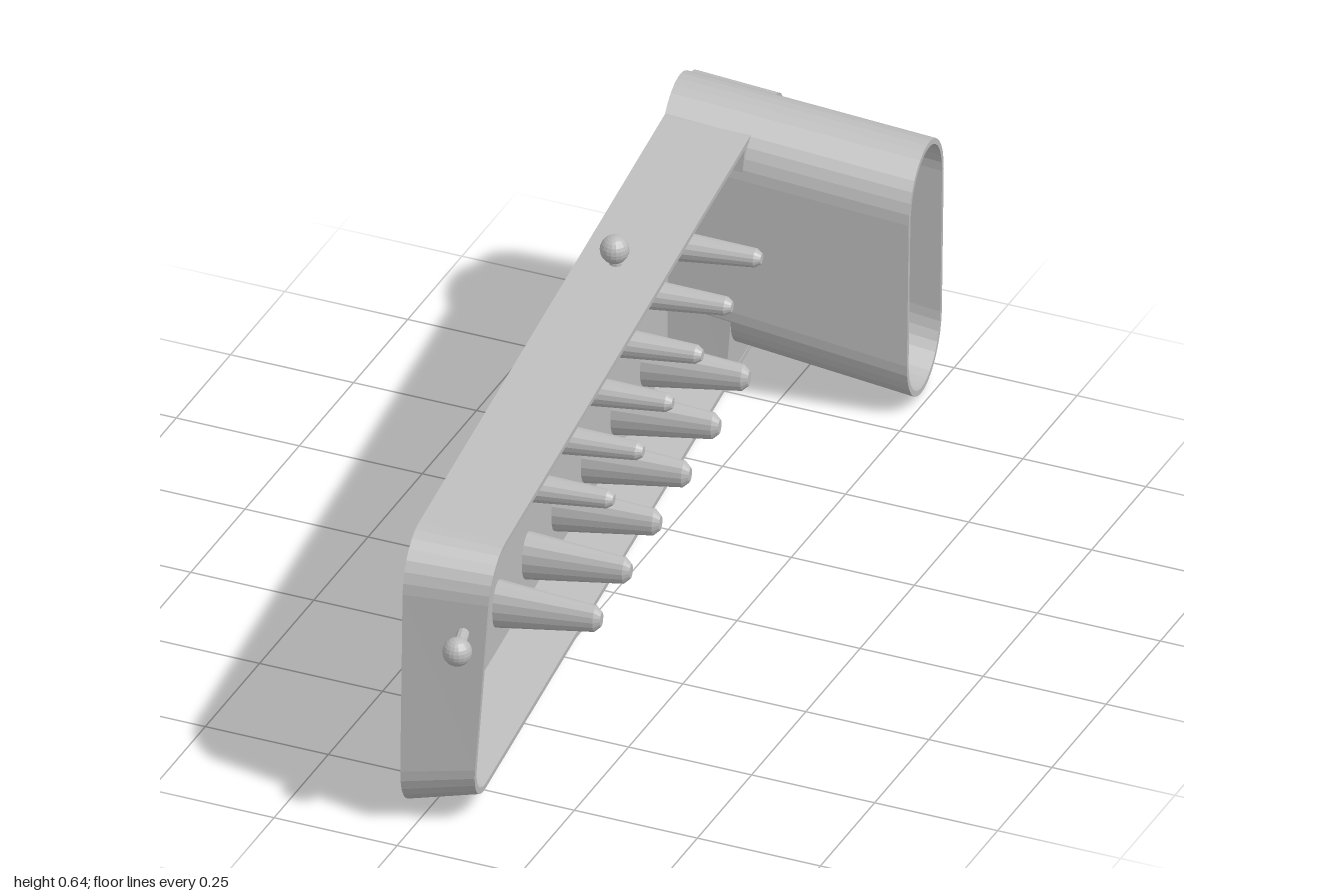
import * as THREE from 'three';

const grey = new THREE.MeshStandardMaterial({ color: 0xbbbbbb, flatShading: true });
grey.name = 'plain grey';

// Tray frame: u runs along the length, v up, w out of the back plate
const place = (u, v, w) => [
  -0.135 + 0.12 * u + 0.993 * w + 0.012 * v,
  0.3025 + v + 0.0105 * u,
  -0.018 + 0.993 * u - 0.12 * w,
];

// Rounded rectangle in the u-v plane, lying at depth w(v)
function loop(u0, u1, v0, v1, r, w, n = 7, rv = r) {
  const pts = [];
  for (let k = 0; k < 4; k++) {
    for (let s = 0; s <= n; s++) {
      const t = (k + s / n) * Math.PI / 2;
      const cu = k === 0 || k === 3 ? u0 + r : u1 - r;
      const cv = k < 2 ? v1 - rv : v0 + rv;
      const v = cv + rv * Math.sin(t);
      pts.push([cu - r * Math.cos(t), v, typeof w === 'function' ? w(v) : w]);
    }
  }
  return pts;
}

// Closed skin through a row of loops
function loft(name, loops) {
  const n = loops[0].length, pos = [], index = [];
  loops.forEach(l => l.forEach(p => pos.push(...place(...p))));
  for (let i = 0; i < loops.length - 1; i++) {
    for (let j = 0; j < n; j++) {
      const a = i * n + j, b = i * n + (j + 1) % n;
      index.push(a, b, b + n, a, b + n, a + n);
    }
  }
  [0, loops.length - 1].forEach((i, end) => {
    const c = [0, 1, 2].map(k => loops[i].reduce((s, p) => s + p[k], 0) / n);
    const ci = pos.length / 3;
    pos.push(...place(...c));
    for (let j = 0; j < n; j++) {
      const a = i * n + j, b = i * n + (j + 1) % n;
      if (end) index.push(ci, a, b); else index.push(ci, b, a);
    }
  });
  const g = new THREE.BufferGeometry();
  g.setAttribute('position', new THREE.Float32BufferAttribute(pos, 3));
  g.setIndex(index);
  g.computeVertexNormals();
  return named(name, g);
}

function named(name, geometry) {
  const m = new THREE.Mesh(geometry, grey);
  m.name = name;
  return m;
}

// Ball on a thin stem
function knob(name, from, to) {
  const g = new THREE.Group();
  g.name = name;
  const a = new THREE.Vector3(...from), b = new THREE.Vector3(...to);
  g.add(named(name + 'Stem', new THREE.TubeGeometry(new THREE.LineCurve3(a, b), 1, 0.012, 10)));
  const ball = named(name + 'Ball', new THREE.SphereGeometry(0.028, 18, 12));
  ball.position.copy(b);
  g.add(ball);
  return g;
}

export function createModel() {
  const model = new THREE.Group();
  model.name = 'pegTray';
  const rim = v => 0.148 + 0.06 * v;

  // Open tray with drafted walls
  model.add(loft('tray', [
    loop(-0.96, 0.96, -0.2925, 0.2925, 0.1, 0),
    loop(-0.954, 0.934, -0.27, 0.27, 0.09, rim),
    loop(-0.942, 0.922, -0.258, 0.258, 0.078, rim),
    loop(-0.935, 0.9, -0.238, 0.238, 0.066, 0.02),
  ]));

  // Wall closing the cavity beside the tube
  model.add(loft('partition', [
    loop(-0.71, -0.68, -0.262, 0.262, 0.001, 0.01, 1),
    loop(-0.71, -0.69, -0.262, 0.262, 0.001, v => rim(v) - 0.001, 1),
  ]));

  // Cover around the foot of the tube, notched for it
  const s = new THREE.Shape();
  s.moveTo(0.69, 0.258);
  s.lineTo(0.69, -0.262);
  s.lineTo(0.86, -0.262);
  s.quadraticCurveTo(0.945, -0.262, 0.945, -0.17);
  s.lineTo(0.945, 0.18);
  s.quadraticCurveTo(0.945, 0.23, 0.9, 0.258);
  s.lineTo(0.88, 0.258);
  s.lineTo(0.906, 0.19);
  s.lineTo(0.906, -0.099);
  s.absarc(0.8, -0.099, 0.106, 0, -Math.PI, true);
  s.lineTo(0.694, 0.19);
  s.lineTo(0.72, 0.258);
  const cover = new THREE.ShapeGeometry(s, 10);
  const p = cover.attributes.position;
  for (let i = 0; i < p.count; i++) {
    p.setXYZ(i, ...place(-p.getX(i), p.getY(i), rim(p.getY(i)) - 0.001));
  }
  cover.computeVertexNormals();
  model.add(named('tubeCover', cover));

  // Slanted oval tube, open at its outer end
  const oval = (w, inset) => {
    const t = w / 0.477, u = -0.79 - 0.031 * t, v = 0.075 - 0.093 * t;
    const hu = 0.112 - inset, hv = 0.254 + 0.011 * t - inset;
    return loop(u - hu, u + hu, v - hv, v + hv, hu, w, 8);
  };
  model.add(loft('tube', [oval(0.001, 0), oval(0.477, 0), oval(0.477, 0.011), oval(0.024, 0.011)]));

  // Two rows of tapered pegs
  const peg = (name, u, v, ru, rv, tip) => {
    const ring = (w, f) => loop(u - ru * f, u + ru * f, v - rv * f, v + rv * f, ru * f, w, 4, rv * f);
    model.add(loft(name, [ring(0.01, 1), ring(tip - 0.012, 0.54), ring(tip, 0.3)]));
  };
  for (let i = 0; i < 6; i++) {
    const u = 0.405 - 0.189 * i;
    peg('upperPeg', u, 0.124 + 0.01 * u, 0.035, 0.034, 0.243);
    peg('lowerPeg', u, -0.14 + 0.01 * u, 0.036, 0.05, 0.222);
  }

  // Ball knobs on the top edge and the front end
  model.add(knob('topKnob', [-0.085, 0.57, -0.2], [-0.087, 0.615, -0.2]));
  model.add(knob('frontKnob', [0.088, 0.43, 0.89], [0.108, 0.43, 0.968]));
  return model;
}
